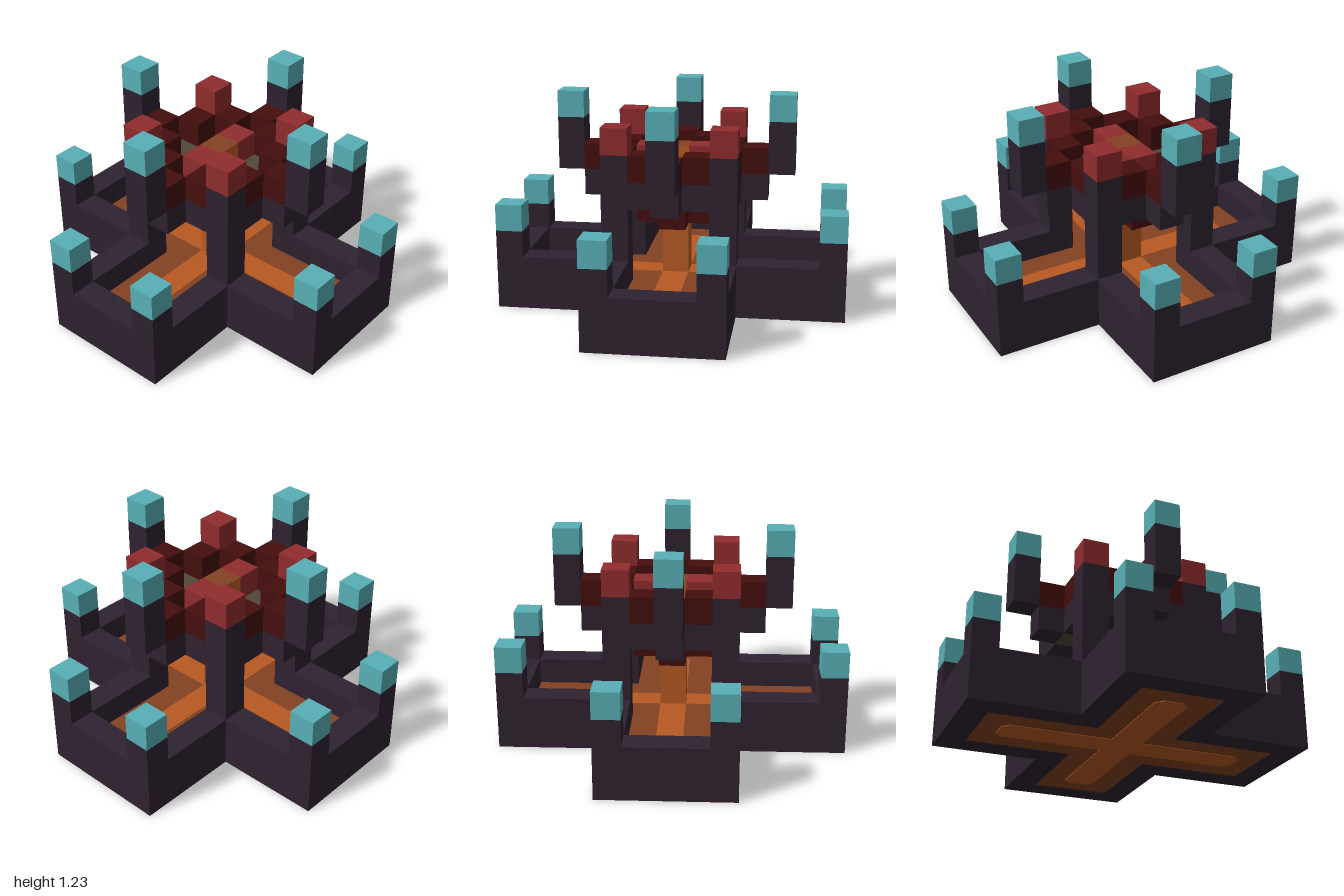
import * as THREE from 'three';

const U = 2 / 13; // one block

function mat(name, color) {
  const m = new THREE.MeshStandardMaterial({ color });
  m.name = name;
  return m;
}

// Cross outline: half width w, half length l, end corners cut by c
function crossPoints(w, l, c = 0) {
  const arm = c > 0
    ? [[l, -w + c], [l, w - c], [l - c, w], [w, w], [w, l - c]]
    : [[l, -w], [l, w], [w, w]];
  if (c > 0) arm.unshift([l - c, -w]);
  if (c > 0) arm.pop();
  const pts = [];
  for (let k = 0; k < 4; k++) {
    for (const [x, y] of arm) {
      const [a, b] = [[x, y], [-y, x], [-x, -y], [y, -x]][k];
      pts.push(new THREE.Vector2(a, b));
    }
  }
  return pts;
}

// Upright slab from a flat outline
function slab(shape, y0, y1) {
  const g = new THREE.ExtrudeGeometry(shape, { depth: y1 - y0, bevelEnabled: false });
  g.rotateX(-Math.PI / 2);
  g.translate(0, y0, 0);
  return g;
}

export function createModel() {
  const root = new THREE.Group();
  root.name = 'crossFountain';

  const stone = mat('dark stone', 0x2e2230);
  const teal = mat('teal', 0x58b0b6);
  const red = mat('red', 0x902c2e);
  const darkRed = mat('dark red', 0x450e0e);
  const orange = mat('orange', 0xb85a22);
  const brown = mat('brown orange', 0x844222);
  const olive = mat('olive', 0x50483a);

  function add(name, geometry, material) {
    const mesh = new THREE.Mesh(geometry, material);
    mesh.name = name;
    root.add(mesh);
    return mesh;
  }

  // Block column at grid cell (i, j), from layer a up to layer b
  function block(name, i, j, a, b, material) {
    const mesh = add(name, new THREE.BoxGeometry(U, (b - a) * U, U), material);
    mesh.position.set(i * U, (a + b) / 2 * U, j * U);
  }

  // Base: cross-shaped wall around a shallow pit
  const wall = new THREE.Shape(crossPoints(2.5 * U, 6.5 * U));
  wall.holes.push(new THREE.Path(crossPoints(1.5 * U, 5.5 * U).reverse()));
  add('baseWall', slab(wall, 0, 2 * U), stone);

  // Pit floor with a bright inner cross above and below
  const floor = new THREE.Shape(crossPoints(1.5 * U, 5.5 * U));
  add('pitFloor', slab(floor, 0.004, U), brown);
  const glowTop = new THREE.Shape(crossPoints(0.5 * U, 4.5 * U, 0.03));
  add('pitGlow', slab(glowTop, U, U + 0.004), orange);
  const glowBottom = new THREE.Shape(crossPoints(0.6 * U, 4.7 * U, 0.04));
  add('undersideGlow', slab(glowBottom, 0, 0.004), orange);

  // Central spout
  block('spout', 0, 0, 1, 3, orange);

  // Corner posts of the arms, and inner pillars
  for (const sx of [-1, 1]) {
    for (const sz of [-1, 1]) {
      for (const [i, j] of [[6, 2], [2, 6]]) {
        block('armPost', sx * i, sz * j, 2, 3, stone);
        block('armPostCap', sx * i, sz * j, 3, 4, teal);
      }
      block('pillar', sx * 2, sz * 2, 2, 6, stone);
      block('pillarCap', sx * 2, sz * 2, 6, 7, red);
    }
  }

  // Raised bowl: small foot, dark ring, dark red rim, olive filling
  for (let i = -3; i <= 3; i++) {
    for (let j = -3; j <= 3; j++) {
      const d = Math.abs(i) + Math.abs(j);
      if (d <= 1) block('bowlFoot', i, j, 3, 4, darkRed);
      if (d <= 2) block('bowlFilling', i, j, 4, 5, olive);
      if (d === 3) {
        block('bowlRing', i, j, 4, 5, stone);
        block('bowlRim', i, j, 5, 6, darkRed);
      }
    }
  }

  // Embers in the bowl
  const ember = [orange, orange, brown, orange, orange, orange];
  block('centreEmber', 0, 0, 5, 6, ember);
  for (const s of [-1, 1]) block('sideEmber', 0, s, 5, 6, red);

  // Tall posts around the bowl
  for (const [i, j] of [[4, 0], [-4, 0], [0, 4], [0, -4]]) {
    block('tallPost', i, j, 5, 7, stone);
    block('tallPostCap', i, j, 7, 8, teal);
  }

  return root;
}
